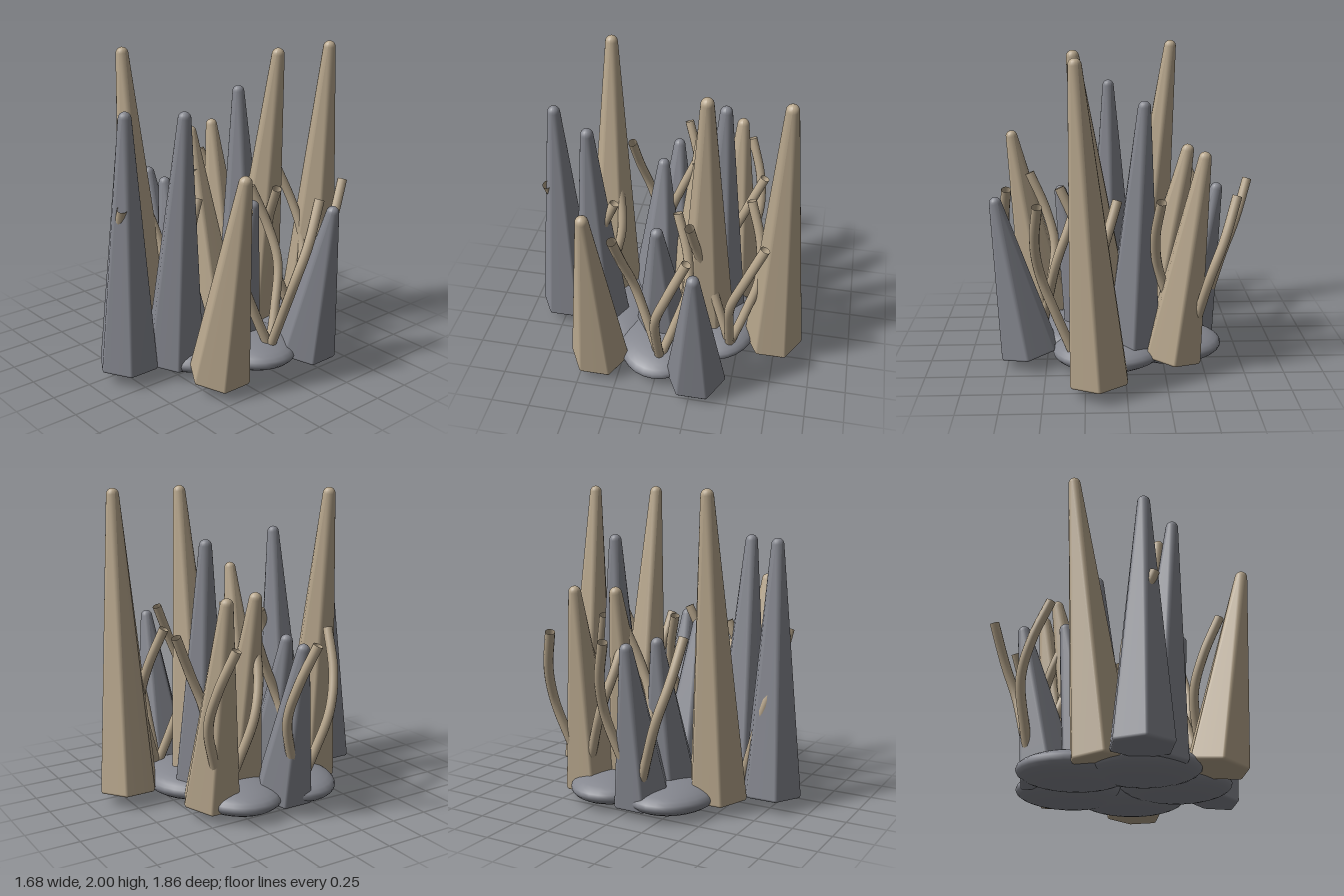
import * as THREE from 'three';

const V = (x, y, z) => new THREE.Vector3(x, y, z);
const TIP = 0.04, BEVEL = 0.02, CORE = 0.175, BASE_Y = 0.075;

// Tapered spike: rounded hexagon at the foot, blending to a round tip
function spikeGeometry(length) {
  // each ring: height, hexagon size, corner rounding
  const rings = [
    [0, 0, 0], [0, CORE, 0], [BEVEL * 0.3, CORE, BEVEL * 0.7], [BEVEL, CORE, BEVEL],
  ];
  for (let k = 0; k <= 5; k++) {
    const a = (k / 5) * Math.PI / 2;
    rings.push([length - TIP + TIP * Math.sin(a), 0, TIP * Math.cos(a)]);
  }
  const pos = [], idx = [], per = 4, n = 6 * per;
  for (const [y, core, r] of rings) {
    for (let c = 0; c < 6; c++) {
      const ca = (c * Math.PI) / 3;
      for (let s = 0; s < per; s++) {
        const a = ca + (s / (per - 1) - 0.5) * (Math.PI / 3);
        pos.push(core * Math.sin(ca) + r * Math.sin(a), y, core * Math.cos(ca) + r * Math.cos(a));
      }
    }
  }
  for (let i = 0; i < rings.length - 1; i++) {
    for (let j = 0; j < n; j++) {
      const a = i * n + j, b = i * n + ((j + 1) % n);
      idx.push(a, b, b + n, a, b + n, a + n);
    }
  }
  const g = new THREE.BufferGeometry();
  g.setAttribute('position', new THREE.Float32BufferAttribute(pos, 3));
  g.setIndex(idx);
  g.computeVertexNormals();
  return g;
}

export function createModel() {
  const tan = new THREE.MeshStandardMaterial({ color: 0xb8a78d });
  tan.name = 'tan';
  const grey = new THREE.MeshStandardMaterial({ color: 0x85878f });
  grey.name = 'slate grey';
  const tubeTan = tan;
  tubeTan.side = THREE.DoubleSide;

  const model = new THREE.Group();
  model.name = 'spikeCluster';
  const add = (geo, mat, name) => {
    const m = new THREE.Mesh(geo, mat);
    m.name = name;
    model.add(m);
    return m;
  };

  // Flattened base stones in a ring of five
  for (let i = 0; i < 5; i++) {
    const a = (i * Math.PI * 2) / 5;
    const stone = add(new THREE.SphereGeometry(1, 28, 16), grey, 'baseStone');
    stone.scale.set(0.35, 0.1, 0.285);
    stone.position.set(0.35 * Math.cos(a), 0.1, 0.35 * Math.sin(a));
  }

  // Spikes: base x, base z, tip x, tip z, top height
  const spike = (mat, name) => ([bx, bz, tx, tz, top]) => {
    const base = V(bx, BASE_Y, bz);
    const axis = V(tx, top - TIP, tz).sub(base);
    const m = add(spikeGeometry(axis.length() + TIP), mat, name);
    m.position.copy(base);
    m.quaternion.setFromUnitVectors(V(0, 1, 0), axis.normalize());
  };
  [
    [0.167, -0.735, 0.29, -0.735, 2],
    [0.09, -0.26, 0.31, -0.26, 2],
    [-0.145, 0.455, -0.335, 0.455, 2],
    [-0.3, -0.385, -0.485, -0.385, 1.4],
    [-0.16, -0.135, -0.405, -0.135, 1.4],
    [0.53, 0.39, 0.745, 0.385, 1.4],
  ].forEach(spike(tan, 'tanSpike'));
  [
    [-0.05, -0.315, -0.12, -0.315, 1.7],
    [0.17, 0.46, 0.295, 0.46, 1.7],
    [0.055, 0.735, 0.08, 0.73, 1.7],
    [0.61, -0.275, 0.8, -0.275, 1.1],
    [0.21, 0.015, 0.405, 0.02, 1.1],
    [-0.43, 0.065, -0.62, 0.07, 1.1],
    [-0.18, 0.13, -0.355, 0.13, 1.1],
  ].forEach(spike(grey, 'greySpike'));

  // Curling open tubes, three to a sprig
  const curve = new THREE.CatmullRomCurve3([
    V(0, 0.13, 0), V(0.1, 0.38, 0), V(0.195, 0.65, -0.015),
    V(0.222, 0.88, -0.095), V(0.195, 1.135, -0.205),
  ]);
  const tube = new THREE.TubeGeometry(curve, 32, 0.031, 12);
  [[0.54, -0.02], [0.325, -0.455], [-0.405, -0.37], [-0.54, 0.1], [0.05, 0.53]].forEach(([x, z]) => {
    for (let k = 0; k < 3; k++) {
      const m = add(tube, tubeTan, 'curlingTube');
      m.position.set(x, 0, z);
      m.rotation.y = (-k * Math.PI * 2) / 3;
    }
  });

  return model;
}
